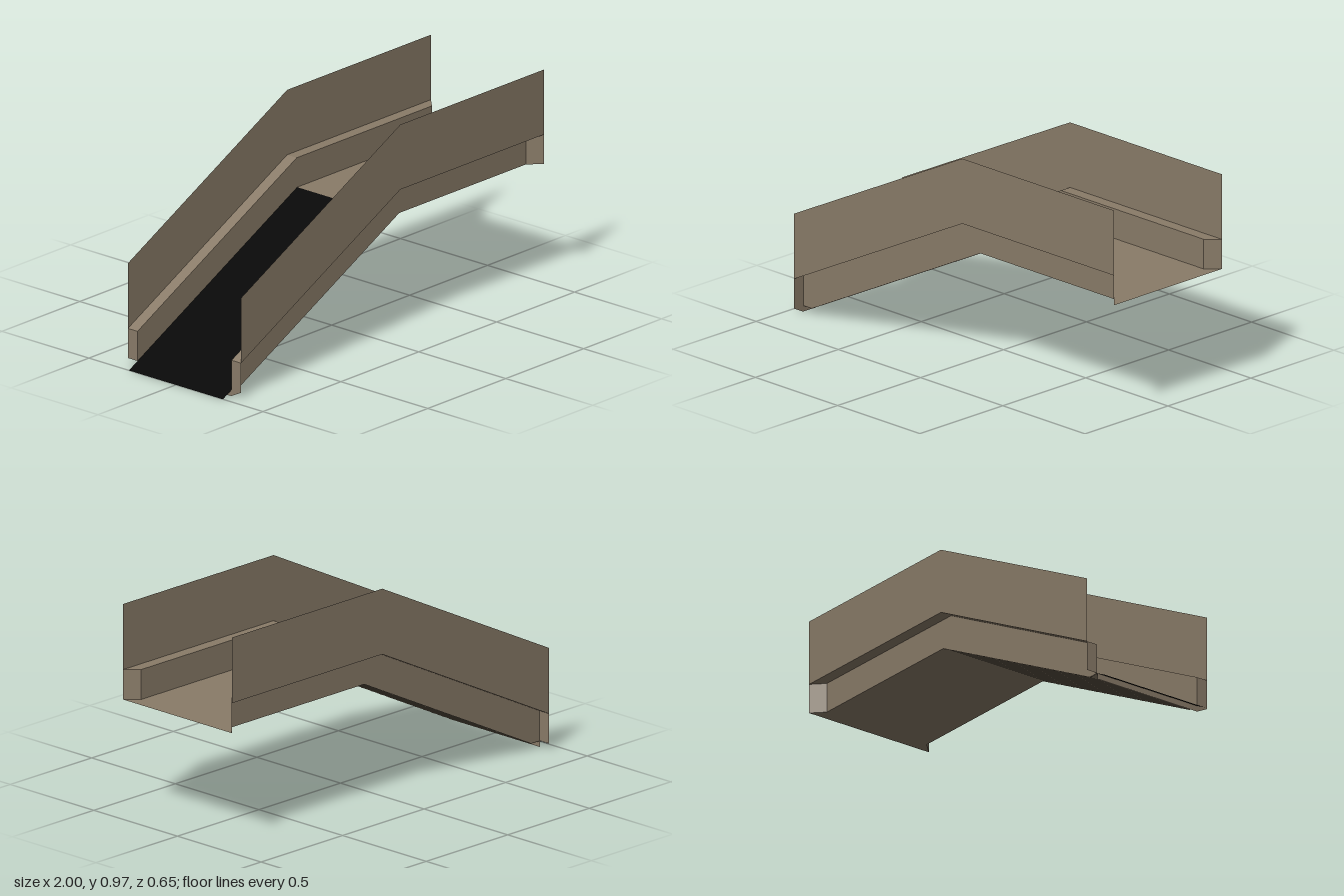
import * as THREE from 'three';

const taupe = new THREE.MeshStandardMaterial({ color: 0x897b68, side: THREE.DoubleSide });
taupe.name = 'taupe panel';
const black = new THREE.MeshStandardMaterial({ color: 0x000000, side: THREE.DoubleSide });
black.name = 'black ramp';

const INNER = 0.27, OUTER = 0.325;      // half widths at skirt and balustrade
const LOW = -0.945, HIGH = 1, BEVEL = 0.945, BEND = 0.077;
const FLOOR = 0.541, LEDGE = 0.676, LOW_LEDGE = 0.163, LOW_EDGE = 0.028;
const STEPS = 20, RUN = 1.08 / STEPS, RISE = FLOOR / STEPS;

// Flat-shaded sheet of quads between two rails of [x, y, z] points
function ribbon(name, a, b, material) {
  const pos = [];
  for (let i = 0; i < a.length - 1; i++) {
    pos.push(...a[i], ...a[i + 1], ...b[i + 1], ...a[i], ...b[i + 1], ...b[i]);
  }
  const geo = new THREE.BufferGeometry();
  geo.setAttribute('position', new THREE.Float32BufferAttribute(pos, 3));
  geo.computeVertexNormals();
  const mesh = new THREE.Mesh(geo, material);
  mesh.name = name;
  return mesh;
}

// Give a side profile of [x, y] points a depth
const atZ = (profile, z) => profile.map(([x, y]) => [x, y, z]);

export function createModel() {
  const model = new THREE.Group();
  model.name = 'escalator';

  // Smooth black ramp resting on the step edges
  const ramp = [[-1, 0], [-1 + STEPS * RUN, FLOOR]];
  model.add(ribbon('ramp', atZ(ramp, INNER), atZ(ramp, -INNER), black));

  // Stepped underside, starting at the first riser
  const stairs = [];
  for (let i = 0; i < STEPS; i++) {
    const x = -1 + (i + 1) * RUN;
    stairs.push([x, i * RISE], [x, (i + 1) * RISE]);
  }
  model.add(ribbon('steps', atZ(stairs, -INNER), atZ(stairs, INNER), taupe));

  // Upper landing, flaring out at its end
  const landing = (s) => [[0.08, FLOOR, s * INNER], [BEVEL, FLOOR, s * INNER], [HIGH, FLOOR, s * OUTER]];
  model.add(ribbon('landing', landing(1), landing(-1), taupe));

  for (const s of [1, -1]) {
    const side = new THREE.Group();
    side.name = s > 0 ? 'frontSide' : 'backSide';
    const zi = s * INNER, zo = s * OUTER;

    // Tall balustrade sheet
    const handrail = [[LOW, 0.46], [BEND, 0.972], [HIGH, 0.972]];
    const crease = [[LOW, LOW_LEDGE], [BEND, LEDGE], [HIGH, LEDGE]];
    side.add(ribbon('balustrade', atZ(crease, zo), atZ(handrail, zo), taupe));

    // Narrow ledge inside the balustrade
    const inner = [[LOW, LOW_LEDGE], [BEND, LEDGE], [BEVEL, LEDGE]];
    side.add(ribbon('ledge', atZ(crease, zo), atZ(inner, zi), taupe));

    // Skirt beside the steps
    const skirtTop = [[LOW, LOW_LEDGE], [-0.892, 0.1896], [BEND, LEDGE], [BEVEL, LEDGE]];
    const skirtBottom = [[LOW, LOW_EDGE], [-0.892, LOW_EDGE], [0.132, FLOOR], [BEVEL, FLOOR]];
    side.add(ribbon('skirt', atZ(skirtBottom, zi), atZ(skirtTop, zi), taupe));

    // Slanted panel at the upper end
    side.add(ribbon('upperEndPanel',
      [[BEVEL, FLOOR, zi], [HIGH, FLOOR, zo]],
      [[BEVEL, LEDGE, zi], [HIGH, LEDGE, zo]], taupe));

    // Square panel at the lower end; the front one reaches the ground inside
    side.add(ribbon('lowerEndPanel',
      [[LOW, s > 0 ? 0 : LOW_EDGE, zi], [LOW, LOW_EDGE, zo]],
      [[LOW, LOW_LEDGE, zi], [LOW, LOW_LEDGE, zo]], taupe));
    model.add(side);
  }
  return model;
}
